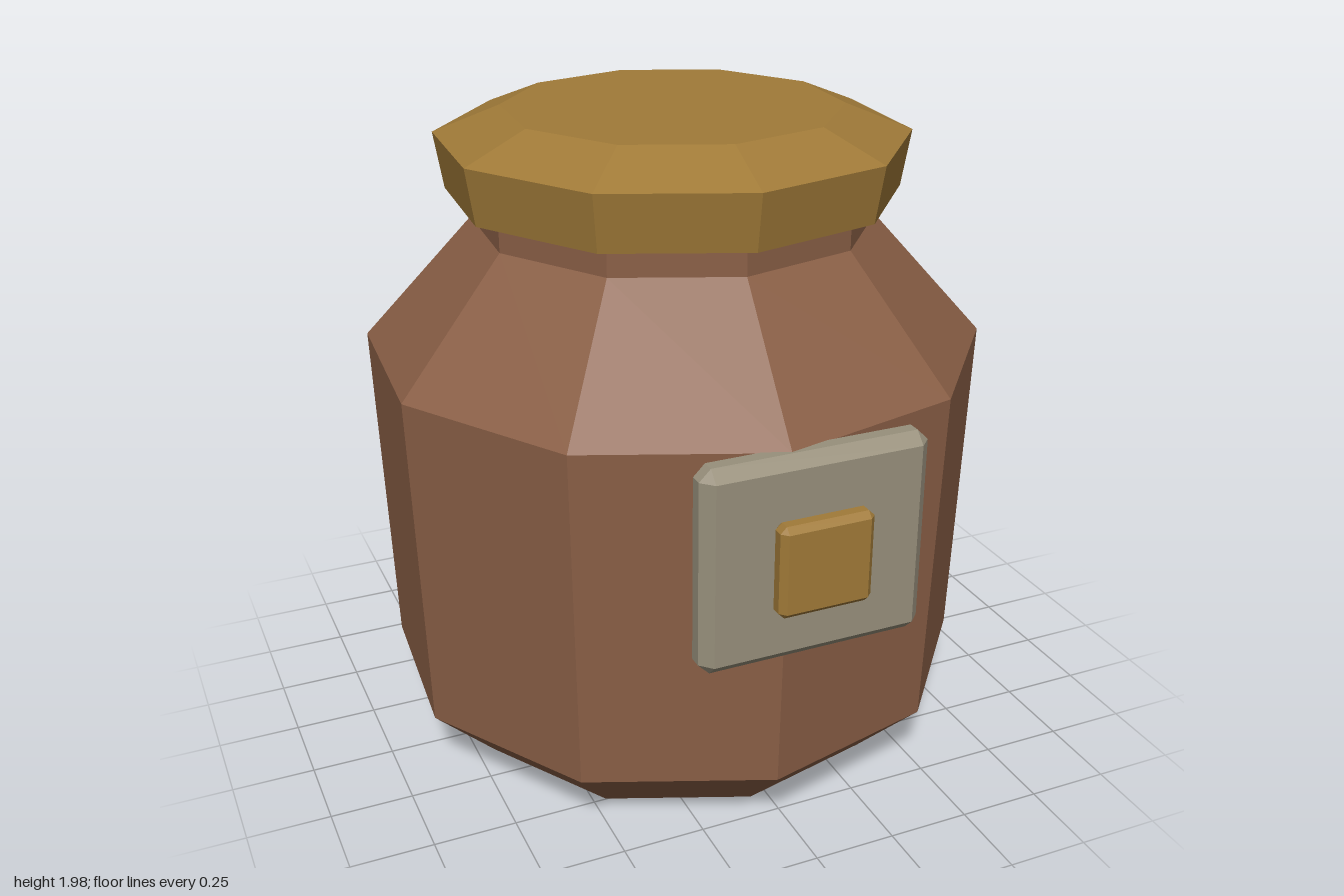
import * as THREE from 'three';
import { ConvexGeometry } from 'three/addons/geometries/ConvexGeometry.js';

const SIDES = 10;
const TURN = -0.073; // slight twist of the decagon about y
const AXIS_Z = -0.05; // jar axis, set back to leave room for the plate

const paint = (color) => new THREE.MeshStandardMaterial({ color, flatShading: true });

function named(name, geometry, material) {
  const mesh = new THREE.Mesh(geometry, material);
  mesh.name = name;
  return mesh;
}

// Ten-sided turned solid from [radius, height] pairs, bottom to top
function turned(profile) {
  const points = profile.map(([r, y]) => new THREE.Vector2(r, y));
  const geometry = new THREE.LatheGeometry(points, SIDES, TURN).toNonIndexed();
  geometry.computeVertexNormals();
  return geometry.translate(0, 0, AXIS_Z);
}

// Box with flat chamfers on every edge and corner
function chamferedBox(w, h, d, c) {
  const points = [];
  for (const x of [-w / 2, w / 2])
    for (const y of [-h / 2, h / 2])
      for (const z of [-d / 2, d / 2]) {
        const [cx, cy, cz] = [x, y, z].map((v) => v - Math.sign(v) * c);
        points.push(
          new THREE.Vector3(x, cy, cz),
          new THREE.Vector3(cx, y, cz),
          new THREE.Vector3(cx, cy, z)
        );
      }
  return new ConvexGeometry(points);
}

export function createModel() {
  const group = new THREE.Group();
  group.name = 'jar';
  const clay = paint(0x8a5f46);
  const brass = paint(0xa07a38);
  const pewter = paint(0x98907c);

  // Body: chamfered foot, flaring wall, sloped shoulder and neck
  group.add(named('body', turned([
    [0, 0], [0.717, 0], [0.92, 0.205], [0.953, 1.265],
    [0.613, 1.64], [0.613, 1.76], [0, 1.76],
  ]), clay));

  // Lid: overhangs the neck, bevelled on top
  group.add(named('lid', turned([
    [0, 1.73], [0.685, 1.73], [0.713, 1.9], [0.511, 1.98], [0, 1.98],
  ]), brass));

  // Front plate with a small raised stud
  const plate = named('plate', chamferedBox(0.68, 0.615, 0.105, 0.034), pewter);
  plate.position.set(0, 0.96, 0.887);
  const stud = named('stud', chamferedBox(0.28, 0.275, 0.065, 0.018), brass);
  stud.position.set(0, 0.96, 0.967);
  group.add(plate, stud);

  return group;
}
